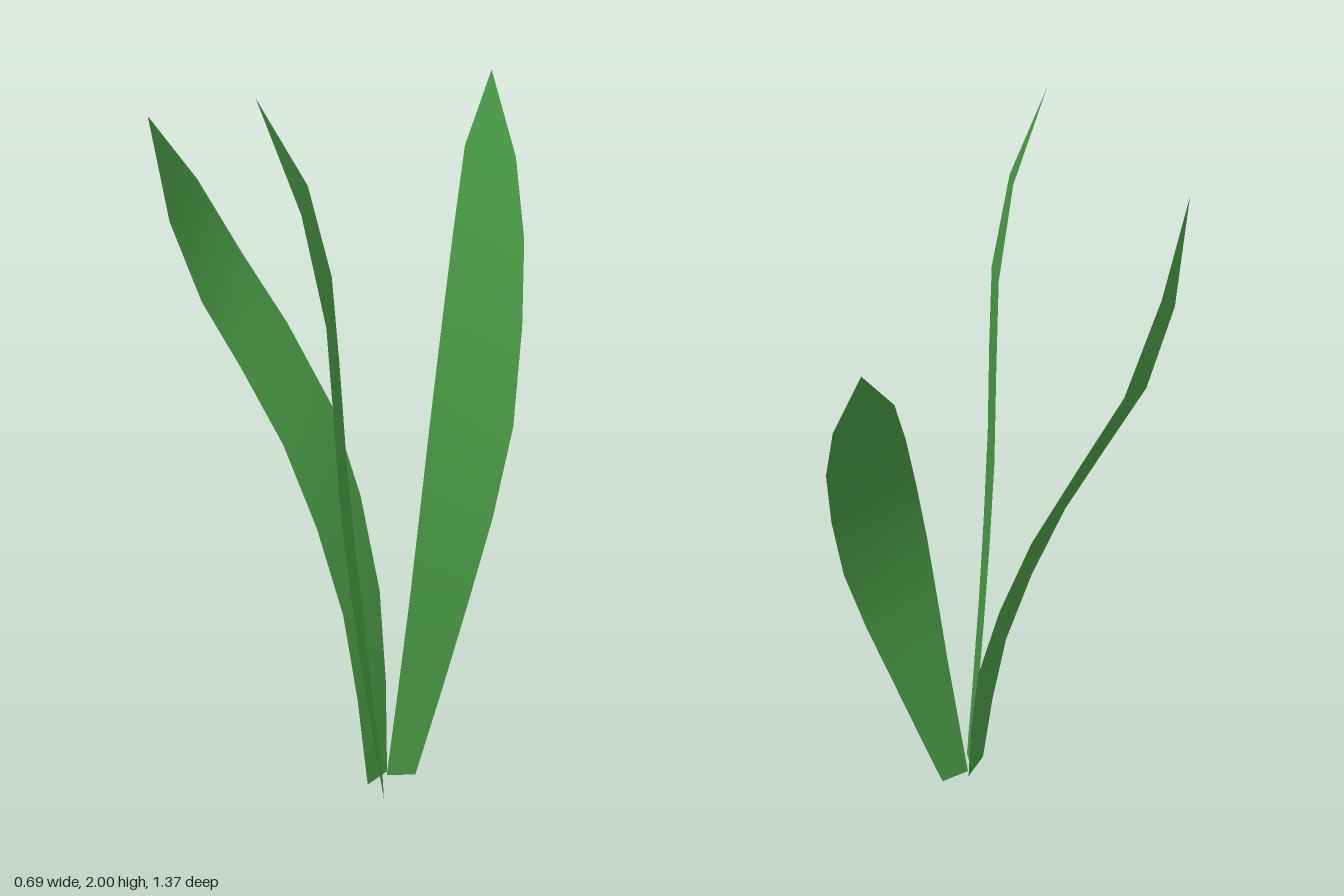
import * as THREE from 'three';

const SEGMENTS = 8;

// One ribbon leaf between two edge curves that meet at the same tip.
// Control points sit at rows 0, 2, 4, 6 and 7; the tip is row 8.
function leafGeometry(edgeA, edgeB, tip) {
  const curves = [edgeA, edgeB].map((edge) =>
    new THREE.CatmullRomCurve3([...edge, tip].map((p) => new THREE.Vector3(...p)), false, 'catmullrom', 0.5));
  const positions = [];
  const index = [];
  for (let i = 0; i < SEGMENTS; i++) {
    const t = (i <= 6 ? i / 2 : i - 3) / 5;
    for (const curve of curves) positions.push(...curve.getPoint(t).toArray());
    const a = i * 2;
    if (i < SEGMENTS - 1) index.push(a, a + 1, a + 3, a, a + 3, a + 2);
    else index.push(a, a + 1, a + 2);
  }
  positions.push(...tip);
  const geometry = new THREE.BufferGeometry();
  geometry.setAttribute('position', new THREE.Float32BufferAttribute(positions, 3));
  geometry.setIndex(index);
  geometry.computeVertexNormals();
  return geometry;
}

export function createModel() {
  const group = new THREE.Group();
  group.name = 'grassTuft';
  const leafGreen = new THREE.MeshStandardMaterial({ color: 0x4a9c46, side: THREE.DoubleSide });
  leafGreen.name = 'leafGreen';

  const leaves = {
    // arches out to the model's right
    rightLeaf: {
      edgeA: [[0.12, 0.02, 0.125], [0.045, 0.52, 0.13], [-0.11, 1.0, 0.18], [-0.3, 1.39, 0.27], [-0.345, 1.61, 0.34]],
      edgeB: [[0.13, 0.02, 0.03], [0.06, 0.53, -0.05], [-0.1, 1.05, -0.06], [-0.3, 1.48, 0.07], [-0.345, 1.7, 0.21]],
      tip: [-0.345, 1.89, 0.42],
    },
    // leans backwards
    backLeaf: {
      edgeA: [[0.2, 0.01, -0.01], [0.29, 0.5, -0.14], [0.345, 0.99, -0.295], [0.27, 1.47, -0.5], [0.19, 1.68, -0.605]],
      edgeB: [[0.14, 0.02, 0.05], [0.17, 0.53, -0.02], [0.175, 1.04, -0.125], [0.125, 1.51, -0.345], [0.08, 1.72, -0.5]],
      tip: [0.07, 1.91, -0.685],
    },
    // leans forwards
    frontLeaf: {
      edgeA: [[0.135, 0.02, 0.065], [0.13, 0.52, 0.165], [0.135, 1.03, 0.27], [0.175, 1.54, 0.41], [0.175, 1.78, 0.52]],
      edgeB: [[0.18, 0.0, 0.14], [0.205, 0.48, 0.315], [0.24, 0.98, 0.485], [0.27, 1.47, 0.6], [0.235, 1.74, 0.65]],
      tip: [0.14, 2.0, 0.685],
    },
  };

  for (const [name, { edgeA, edgeB, tip }] of Object.entries(leaves)) {
    const mesh = new THREE.Mesh(leafGeometry(edgeA, edgeB, tip), leafGreen);
    mesh.name = name;
    group.add(mesh);
  }
  return group;
}
